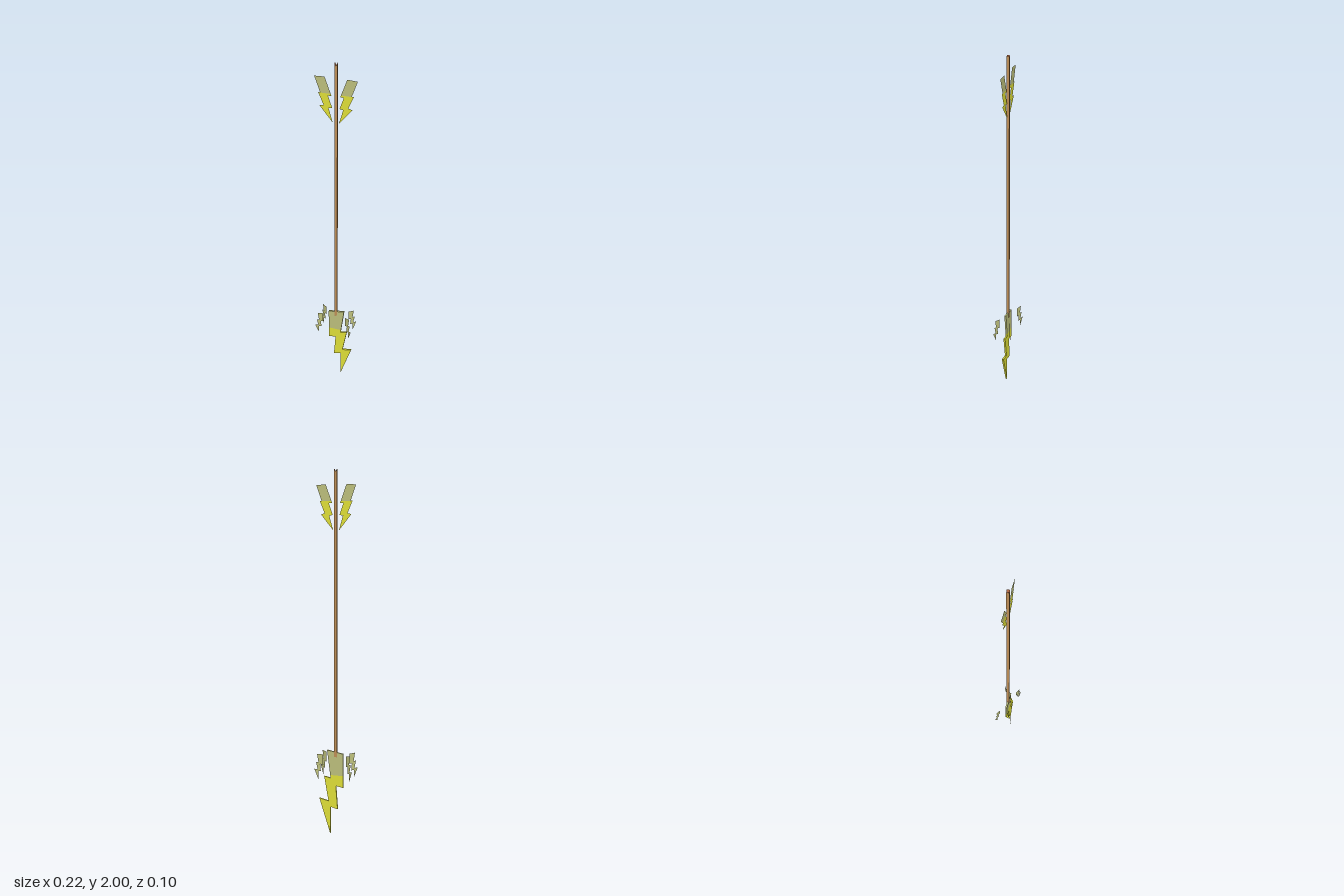
import * as THREE from 'three';

export function createModel() {
  const model = new THREE.Group();
  const mat = (name, color, side = THREE.DoubleSide) => {
    const m = new THREE.MeshStandardMaterial({ color, side });
    m.name = name;
    return m;
  };
  const wood = mat('wood tan', 0xbd8d55, THREE.FrontSide);
  const endWood = mat('end grain red brown', 0xa8623f);
  const yellow = mat('bolt yellow', 0xe0e038);
  const grey = mat('bolt olive grey', 0xbdc07c);

  const toShape = pts => new THREE.Shape(pts.map(p => new THREE.Vector2(p[0], p[1])));
  const slab = (pts, depth) =>
    new THREE.ExtrudeGeometry(toShape(pts), { depth, bevelEnabled: false }).translate(0, 0, -depth / 2);
  const add = (name, geometry, material, parent = model) => {
    const mesh = new THREE.Mesh(geometry, material);
    mesh.name = name;
    parent.add(mesh);
    return mesh;
  };

  // square shaft with a V notch in its top end, end faces in a redder wood
  const r = 0.0075;
  const arrowShaft = new THREE.Group();
  arrowShaft.name = 'arrowShaft';
  arrowShaft.position.x = 0.0015;
  arrowShaft.rotation.y = 0.12;
  model.add(arrowShaft);
  add('shaft', slab([[-r, 0.445], [r, 0.445], [r, 1.999], [0, 1.985], [-r, 1.999]], 2 * r), wood, arrowShaft);
  add('notch', slab([[-r, 1.999], [0, 1.985], [r, 1.999], [r, 2], [0, 1.986], [-r, 2]], 2 * r), endWood, arrowShaft);
  add('shaftFoot', new THREE.BoxGeometry(2 * r, 0.002, 2 * r), endWood, arrowShaft).position.y = 0.444;

  // arrowhead: lightning bolt, grey above and yellow below
  const headTop = [[-0.042, 0.463], [-0.042, 0.338], [0.033, 0.338], [0.051, 0.479]];
  const headBottom = [[-0.042, 0.338], [-0.042, 0.27], [0, 0.279], [-0.01, 0.145], [0.032, 0.155],
    [0.033, 0], [0.097, 0.199], [0.043, 0.187], [0.068, 0.328], [0.03, 0.32], [0.033, 0.338]];
  add('headUpper', slab(headTop, 0.01), grey);
  add('headLower', slab(headBottom, 0.01), yellow);

  // four small flat bolts standing radially around the head
  const outline = [headTop[0], ...headBottom.slice(1, -1), headTop[3]];
  const smallShape = toShape(outline.map(([x, y]) => [(x - 0.027) * 0.34, 0.32 + y * 0.3]));
  for (const sx of [1, -1]) for (const sz of [1, -1]) {
    const bolt = add('smallBolt', new THREE.ShapeGeometry(smallShape), grey);
    const angle = 0.48;
    bolt.position.set(sx * 0.088, 0, sz * 0.041);
    bolt.rotation.y = sx > 0 ? -sz * angle : Math.PI + sz * angle;
  }

  // fletching: a mirrored pair of flat bolts at the tail
  const vaneTop = [[0.058, 1.921], [0.026, 1.834], [0.081, 1.834], [0.111, 1.918]];
  const vaneBottom = [[0.026, 1.834], [0.023, 1.824], [0.041, 1.823], [0.019, 1.761], [0.038, 1.757],
    [0.016, 1.68], [0.085, 1.765], [0.064, 1.77], [0.092, 1.836], [0.081, 1.834]];
  for (const side of [1, -1]) {
    const vane = new THREE.Group();
    vane.name = side > 0 ? 'leftFletching' : 'rightFletching';
    add('fletchingUpper', new THREE.ShapeGeometry(toShape(vaneTop)), grey, vane);
    add('fletchingLower', new THREE.ShapeGeometry(toShape(vaneBottom)), yellow, vane);
    if (side < 0) vane.rotation.y = Math.PI;
    model.add(vane);
  }
  return model;
}
